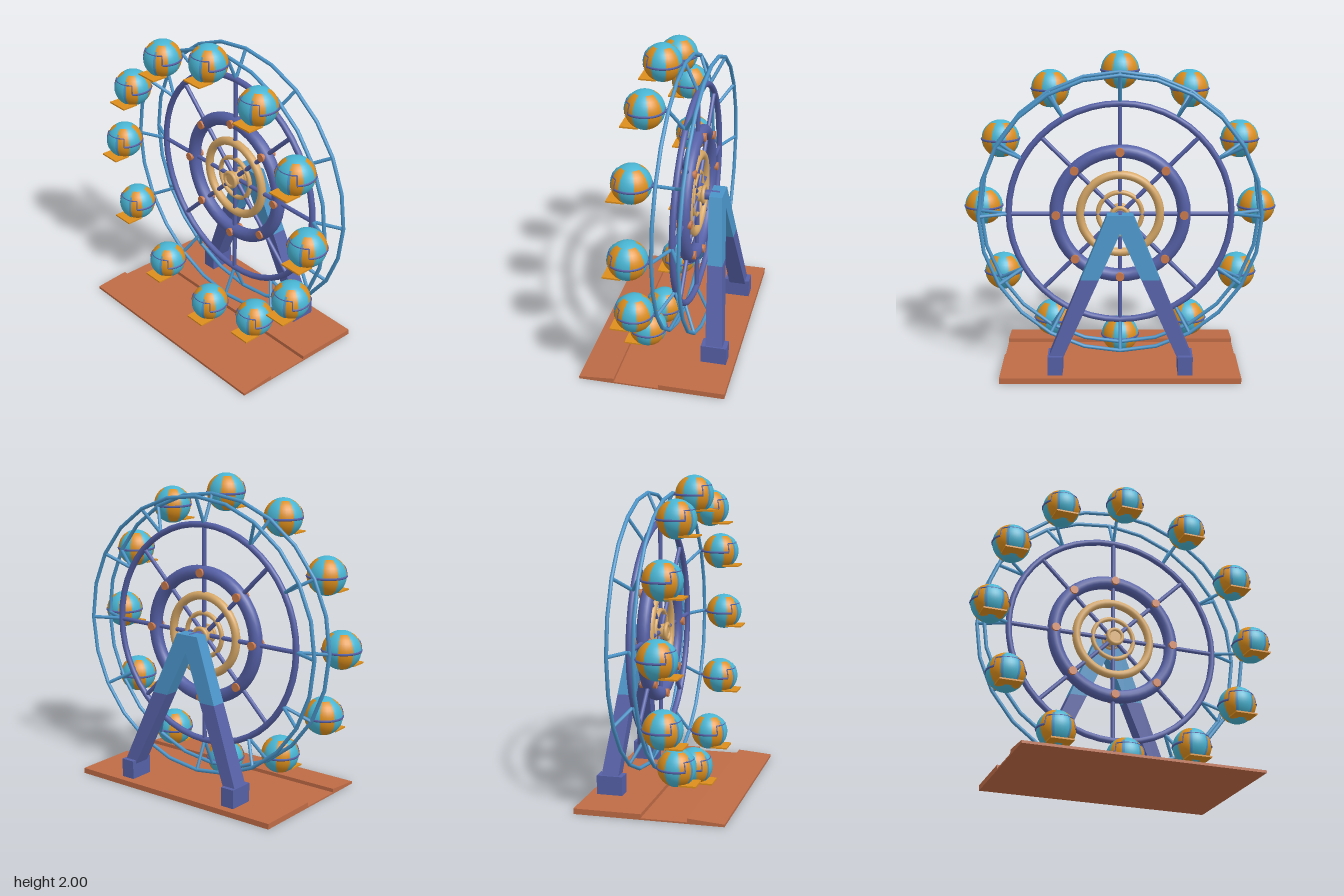
import * as THREE from 'three';

const mat = (name, color) => {
  const m = new THREE.MeshStandardMaterial({ color });
  m.name = name;
  return m;
};
const cyan = mat('cyan', 0x48b4d2);
const orange = mat('orange', 0xdc8e1c);
const purple = mat('indigo', 0x5560a6);
const blue = mat('blue', 0x4a94c8);
const gold = mat('gold', 0xd6a766);
const copper = mat('copper', 0xcc7a4c);
const clay = mat('terracotta', 0xbe6b45);

const HUB = new THREE.Vector3(0, 1, -0.125);
const RAD = Math.PI / 180;

function add(parent, name, geometry, material, x = 0, y = 0, z = 0) {
  const mesh = new THREE.Mesh(geometry, material);
  mesh.name = name;
  mesh.position.set(x, y, z);
  parent.add(mesh);
  return mesh;
}

// Round bar between two points
function bar(parent, name, a, b, r, material, sides = 10) {
  const dir = b.clone().sub(a);
  const mesh = add(parent, name, new THREE.CylinderGeometry(r, r, dir.length(), sides), material);
  mesh.position.copy(a).addScaledVector(dir, 0.5);
  mesh.quaternion.setFromUnitVectors(new THREE.Vector3(0, 1, 0), dir.normalize());
  return mesh;
}

// Box whose bottom and top rectangles differ: [x0, x1, z0, z1]
function taperedBox(y0, bottom, y1, top) {
  const g = new THREE.BoxGeometry(1, 1, 1).toNonIndexed();
  const p = g.attributes.position;
  for (let i = 0; i < p.count; i++) {
    const r = p.getY(i) > 0 ? top : bottom;
    p.setXYZ(i, p.getX(i) > 0 ? r[1] : r[0], p.getY(i) > 0 ? y1 : y0, p.getZ(i) > 0 ? r[3] : r[2]);
  }
  g.computeVertexNormals();
  return g;
}

function makeBase() {
  const base = new THREE.Group();
  base.name = 'base';
  add(base, 'floorPlate', taperedBox(0, [-0.75, 0.75, -0.465, 0.465], 0.01, [-0.75, 0.75, -0.465, 0.465]), clay);
  add(base, 'rearDeck', taperedBox(0.005, [-0.75, 0.75, -0.465, -0.045], 0.035, [-0.75, 0.75, -0.465, -0.045]), clay);
  // Front ramp: a side profile pushed across the width
  const profile = new THREE.Shape([[-0.24, 0.005], [-0.24, 0.034], [-0.465, 0.016], [-0.465, 0.005]].map(p => new THREE.Vector2(...p)));
  const ramp = new THREE.ExtrudeGeometry(profile, { depth: 1.5, bevelEnabled: false });
  ramp.rotateY(Math.PI / 2);
  add(base, 'frontRamp', ramp, clay, -0.75);
  return base;
}

function makeSupport() {
  const support = new THREE.Group();
  support.name = 'support';
  const low = [0.36, 0.45, -0.39, -0.28], high = [-0.05, 0.08, -0.3, -0.215];
  const t = (0.63 - 0.13) / (1.03 - 0.13);
  const mid = low.map((v, i) => v + (high[i] - v) * t);
  for (const side of [1, -1]) {
    const flip = r => side > 0 ? r : [-r[1], -r[0], r[2], r[3]];
    add(support, 'foot', new THREE.BoxGeometry(0.092, 0.125, 0.165), purple, side * 0.405, 0.0925, -0.333);
    add(support, 'lowerLeg', taperedBox(0.13, flip(low), 0.63, flip(mid)), purple);
    add(support, 'upperLeg', taperedBox(0.63, flip(mid), 1.03, flip(high)), blue);
  }
  return support;
}

function makeWheel() {
  const wheel = new THREE.Group();
  wheel.name = 'wheel';
  wheel.position.copy(HUB);
  const ring = (name, R, r, m, z = 0, seg = 48) => add(wheel, name, new THREE.TorusGeometry(R, r, 12, seg), m, 0, 0, z);
  ring('mainRing', 0.697, 0.02, purple);
  ring('thickRing', 0.4, 0.043, purple);
  ring('goldRing', 0.25, 0.027, gold);
  ring('innerGoldRing', 0.138, 0.015, gold);
  ring('frontRim', 0.88, 0.012, blue, 0.08, 24);
  ring('rearRim', 0.88, 0.012, blue, -0.08, 24);

  // Hub with raised lips and an axle to the support
  const disc = (name, r, len, m, z) => add(wheel, name, new THREE.CylinderGeometry(r, r, len, 24).rotateX(Math.PI / 2), m, 0, 0, z);
  disc('hub', 0.05, 0.09, gold, 0);
  ring('hubLip', 0.048, 0.013, gold, 0.042, 24);
  ring('hubLip', 0.048, 0.013, gold, -0.042, 24);
  disc('axle', 0.032, 0.13, purple, -0.08);

  // Eight spokes with bolts on the thick ring
  const at = (a, r, z = 0) => new THREE.Vector3(Math.cos(a) * r, Math.sin(a) * r, z);
  for (let i = 0; i < 8; i++) {
    const a = i * 45 * RAD;
    bar(wheel, 'spoke', at(a, 0.04), at(a, 0.695), 0.014, purple);
    bar(wheel, 'bolt', at(a, 0.4, -0.053), at(a, 0.4, 0.053), 0.027, copper, 16);
  }
  // Twelve V-shaped struts carrying the two rims
  for (let i = 0; i < 12; i++) {
    const a = i * 30 * RAD;
    for (const z of [0.08, -0.08]) bar(wheel, 'rimStrut', at(a, 0.7), at(a, 0.88, z), 0.011, blue, 8);
    bar(wheel, 'cabinPin', at(a, 0.875, 0.075), at(a, 0.875, 0.115), 0.012, purple, 8);
  }
  return wheel;
}

function makeCabin() {
  const cabin = new THREE.Group();
  cabin.name = 'cabin';
  const R = 0.12, cap = 28 * RAD;
  // Shell: eight alternating gores closed by two caps
  for (let i = 0; i < 8; i++) {
    add(cabin, 'shellGore', new THREE.SphereGeometry(R, 4, 12, (i * 45 - 22.5) * RAD, 45 * RAD, cap, Math.PI - 2 * cap), i % 2 ? orange : cyan);
  }
  add(cabin, 'topCap', new THREE.SphereGeometry(R, 32, 4, 22.5 * RAD, Math.PI * 2, 0, cap), cyan);
  add(cabin, 'bottomCap', new THREE.SphereGeometry(R, 32, 4, 22.5 * RAD, Math.PI * 2, Math.PI - cap, cap), cyan);

  // Belt, open at the front, with a raised rail over the door
  const arc = (name, r, tube, from, to, y) => add(cabin, name,
    new THREE.TorusGeometry(r, tube, 6, 24, (to - from) * RAD).rotateZ(from * RAD).rotateX(Math.PI / 2), purple, 0, y, 0);
  arc('belt', 0.118, 0.008, 140, 400, 0);
  arc('doorRail', 0.106, 0.004, 40, 140, 0.058);
  for (const b of [40, 140]) {
    add(cabin, 'railPost', new THREE.TorusGeometry(0.12, 0.004, 6, 8, 29 * RAD).rotateY(-b * RAD), purple);
  }

  // Door with side strips, and the step below it
  const half = 22 * RAD;
  add(cabin, 'door', new THREE.SphereGeometry(0.123, 6, 12, Math.PI / 2 - half, half * 2, 42 * RAD, 96 * RAD), cyan);
  for (const s of [1, -1]) {
    add(cabin, 'doorStrip', new THREE.SphereGeometry(0.1225, 2, 12, Math.PI / 2 + s * 26 * RAD - 4 * RAD, 8 * RAD, 50 * RAD, 80 * RAD), blue);
  }
  add(cabin, 'step', new THREE.BoxGeometry(0.145, 0.01, 0.11), orange, 0, -0.096, 0.082);
  return cabin;
}

export function createModel() {
  const model = new THREE.Group();
  model.name = 'ferrisWheel';
  model.add(makeBase(), makeSupport(), makeWheel());
  // Twelve upright cabins around the rim
  const cabin = makeCabin();
  for (let i = 0; i < 12; i++) {
    const a = i * 30 * RAD, c = cabin.clone();
    c.position.set(Math.cos(a) * 0.875, HUB.y + Math.sin(a) * 0.875, 0.095);
    model.add(c);
  }
  return model;
}
